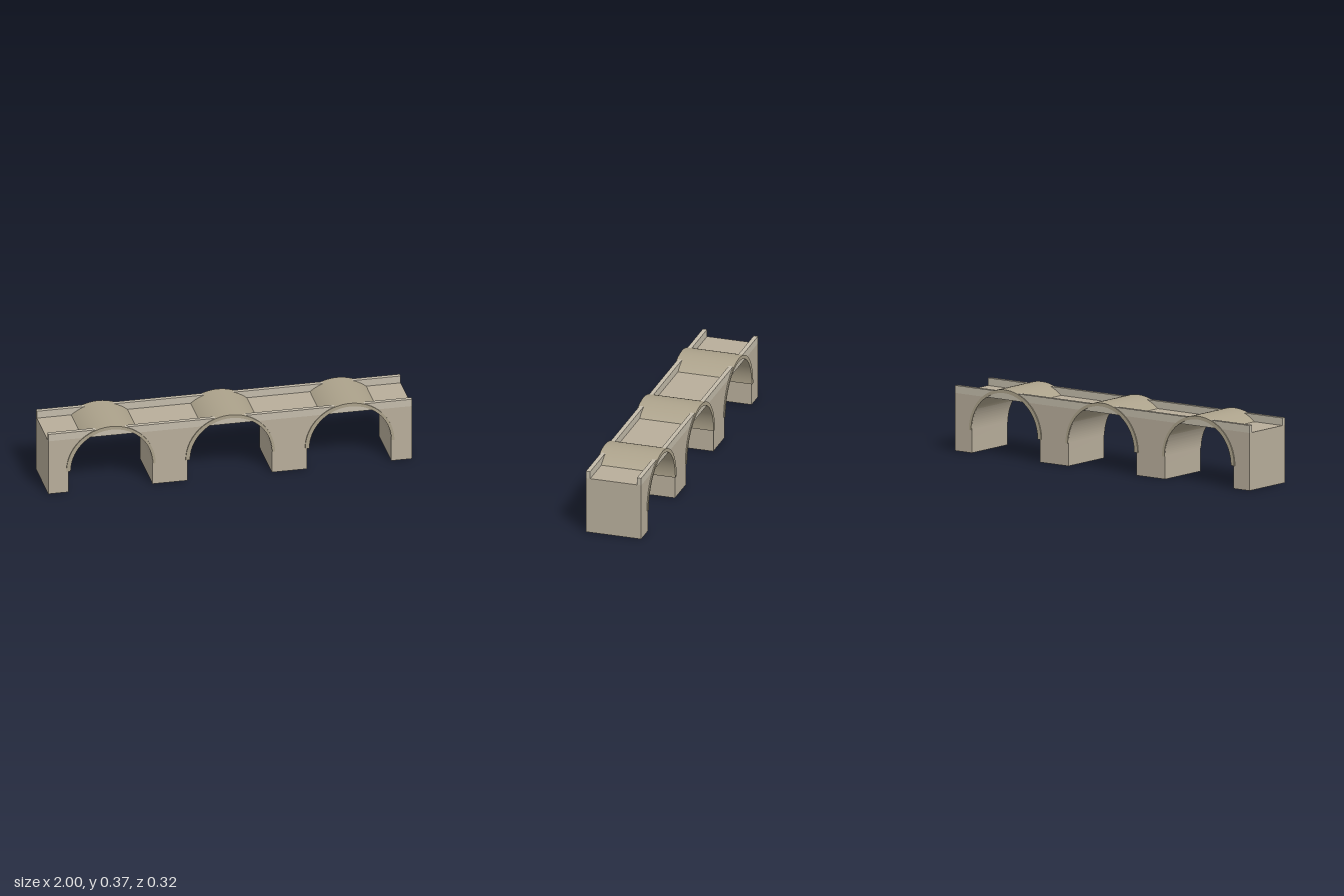
import * as THREE from 'three';
import { toCreasedNormals } from 'three/addons/utils/BufferGeometryUtils.js';

const SPRING = 0.125;   // height where the arches start
const DECK = 0.315;     // deck height
const OPEN_R = 0.2315;  // radius of the openings between piers
const BODY_Z = 0.156;   // half depth of the piers
const VAULT_Z = 0.162;  // half depth of the vaults
const SPACING = 0.656;

// Extrudes an outline along z, centred, with smooth curved faces
function extrude(shape, halfDepth) {
  const geo = new THREE.ExtrudeGeometry(shape, { depth: 2 * halfDepth, bevelEnabled: false, curveSegments: 32 });
  geo.translate(0, 0, -halfDepth);
  return toCreasedNormals(geo, 0.5);
}

export function createModel() {
  const group = new THREE.Group();
  const stone = new THREE.MeshStandardMaterial({ color: 0xb8ae9b });
  const paleStone = new THREE.MeshStandardMaterial({ color: 0xc4bcab });
  const archStone = new THREE.MeshStandardMaterial({ color: 0xaca28b });

  const add = (name, geo, mat, x = 0, y = 0, z = 0) => {
    const mesh = new THREE.Mesh(geo, mat);
    mesh.name = name;
    mesh.position.set(x, y, z);
    group.add(mesh);
  };

  // Piers: each flares upward along the arcs of its neighbouring openings
  const rise = Math.asin((DECK - SPRING) / OPEN_R);
  const openings = [-1, 0, 1].map((i) => i * SPACING - 0.0025);
  for (let i = 0; i < 4; i++) {
    const s = new THREE.Shape();
    if (i > 0) {
      const c = openings[i - 1];
      s.moveTo(c + OPEN_R * Math.cos(rise), DECK);
      s.absarc(c, SPRING, OPEN_R, rise, 0, true);
      s.lineTo(c + OPEN_R, 0);
    } else {
      s.moveTo(-1, DECK);
      s.lineTo(-1, 0);
    }
    if (i < 3) {
      const c = openings[i];
      s.lineTo(c - OPEN_R, 0);
      s.absarc(c, SPRING, OPEN_R, Math.PI, Math.PI - rise, true);
    } else {
      s.lineTo(1, 0);
      s.lineTo(1, DECK);
    }
    s.closePath();
    add('pier', extrude(s, BODY_Z), stone);
  }

  // Vaults: half rings slightly proud of the walls, humped above the deck
  const ring = new THREE.Shape();
  ring.absarc(0, SPRING, 0.245, 0, Math.PI, false);
  ring.absarc(0.004, SPRING, 0.226, Math.PI, 0, true);
  ring.closePath();
  const vault = extrude(ring, VAULT_Z);
  for (const i of [-1, 0, 1]) add('archVault', vault, archStone, i * SPACING);

  // Low parapets along both edges of the deck
  const parapet = new THREE.BoxGeometry(2, 0.041, 0.024);
  for (const side of [-1, 1]) {
    add('parapet', parapet, paleStone, 0, DECK + 0.0205, side * (BODY_Z - 0.012));
  }
  return group;
}
